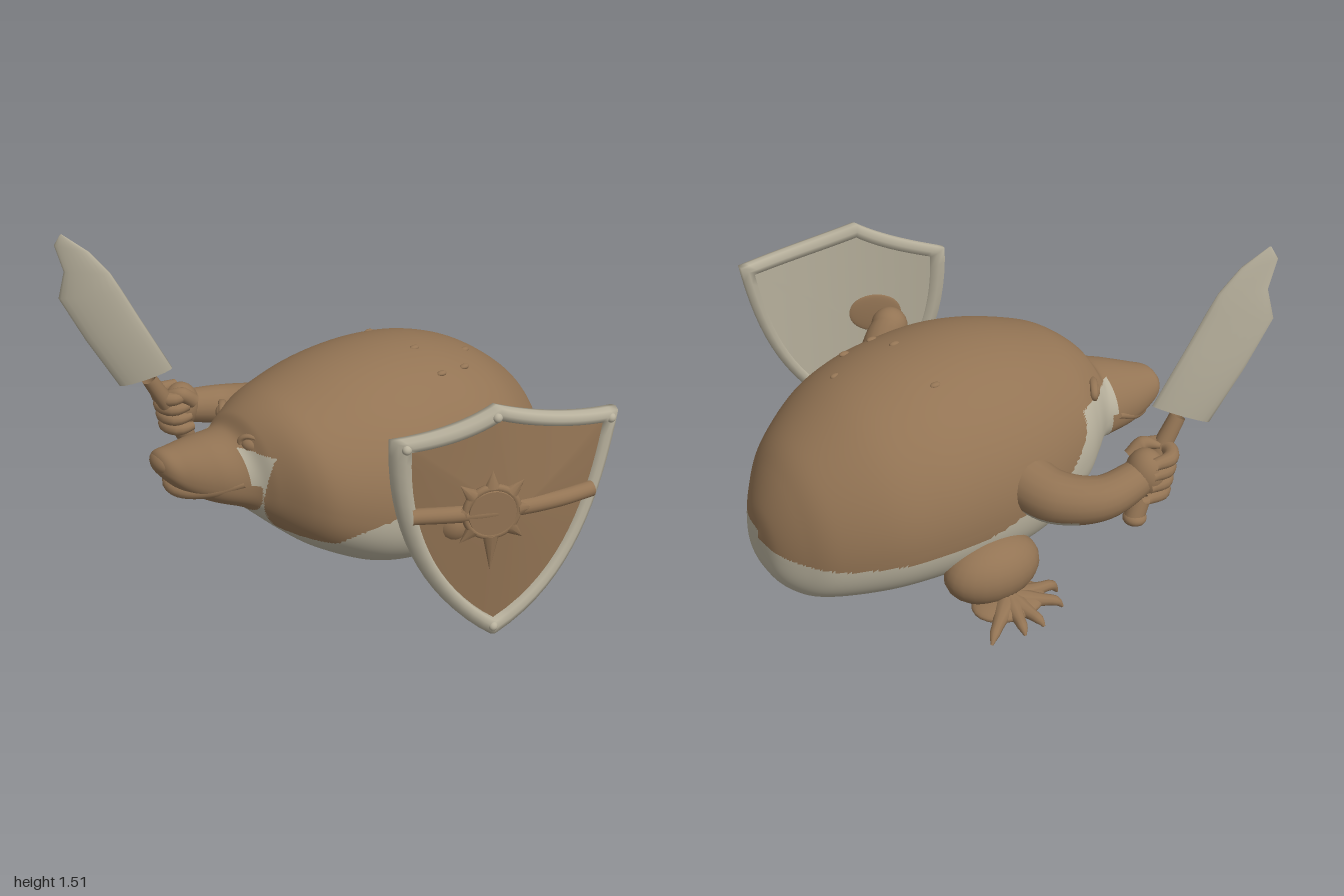
import * as THREE from 'three';
import { mergeVertices } from 'three/addons/utils/BufferGeometryUtils.js';

const flat = (name, color) => {
  const m = new THREE.MeshStandardMaterial({ color, side: THREE.DoubleSide });
  m.name = name;
  return m;
};

export function createModel() {
  const brown = flat('brown', 0x937454);
  const cream = flat('cream', 0xb7b09c);
  const root = new THREE.Group();
  root.name = 'shieldBearer';

  const add = (name, geo, mat, parent = root) => {
    const m = new THREE.Mesh(geo, mat);
    m.name = name;
    parent.add(m);
    return m;
  };
  const ball = (name, p, s, mat = brown) => {
    const m = add(name, new THREE.SphereGeometry(1, 24, 16), mat);
    m.position.set(...p);
    m.scale.set(...s);
    return m;
  };

  // Surface of rings (u) and closed cross-sections (v); isCream sorts faces into two colours
  function loft(nu, nv, fn, isCream = () => false) {
    const pos = [], idx = [[], []];
    for (let i = 0; i <= nu; i++)
      for (let j = 0; j < nv; j++) pos.push(...fn(i / nu, j / nv));
    const mid = (t) => [0, 1, 2].map((k) => (pos[t[0] * 3 + k] + pos[t[1] * 3 + k] + pos[t[2] * 3 + k]) / 3);
    for (let i = 0; i < nu; i++)
      for (let j = 0; j < nv; j++) {
        const a = i * nv + j, b = i * nv + (j + 1) % nv, c = a + nv, d = b + nv;
        for (const t of [[a, b, c], [b, d, c]]) idx[isCream(...mid(t), i / nu) ? 1 : 0].push(...t);
      }
    let g = new THREE.BufferGeometry();
    g.setAttribute('position', new THREE.Float32BufferAttribute(pos, 3));
    g.setIndex([...idx[0], ...idx[1]]);
    g = mergeVertices(g, 1e-5);
    g.addGroup(0, idx[0].length, 0);
    g.addGroup(idx[0].length, idx[1].length, 1);
    g.computeVertexNormals();
    return g;
  }

  // Round limb along a smooth path with changing radius
  function limb(name, pts, radii, isCream, nu = 24, nv = 18) {
    const curve = new THREE.CatmullRomCurve3(pts.map((p) => new THREE.Vector3(...p)));
    const fr = curve.computeFrenetFrames(nu, false);
    const geo = loft(nu, nv, (u, v) => {
      const k = u * (radii.length - 1), i = Math.min(Math.floor(k), radii.length - 2);
      const r = THREE.MathUtils.lerp(radii[i], radii[i + 1], k - i), n = Math.round(u * nu);
      return curve.getPointAt(u)
        .addScaledVector(fr.normals[n], r * Math.cos(v * Math.PI * 2))
        .addScaledVector(fr.binormals[n], r * Math.sin(v * Math.PI * 2)).toArray();
    }, isCream);
    return add(name, geo, [brown, cream]);
  }

  // Body, head and snout in one skin: z, centre x, half width, bottom y, top y
  const sections = [
    [-0.99, -0.13, 0, 0.3, 0.32], [-0.97, -0.13, 0.145, 0.14, 0.45], [-0.9, -0.13, 0.275, 0.06, 0.6],
    [-0.8, -0.13, 0.39, 0.04, 0.725], [-0.6, -0.13, 0.515, 0.04, 0.87], [-0.4, -0.13, 0.57, 0.04, 0.95],
    [-0.2, -0.13, 0.585, 0.04, 0.985], [0, -0.125, 0.585, 0.045, 0.99], [0.2, -0.13, 0.55, 0.09, 0.965],
    [0.4, -0.14, 0.47, 0.2, 0.91], [0.5, -0.155, 0.39, 0.28, 0.87], [0.58, -0.2, 0.285, 0.355, 0.81],
    [0.63, -0.25, 0.235, 0.395, 0.735], [0.74, -0.3, 0.185, 0.43, 0.71], [0.84, -0.34, 0.13, 0.485, 0.685],
    [0.9, -0.365, 0.085, 0.55, 0.665], [0.925, -0.37, 0, 0.6, 0.61],
  ];
  const spline = (f) => new THREE.CatmullRomCurve3(sections.map(f), false, 'catmullrom');
  const low = spline((s) => new THREE.Vector3(s[1], s[3], s[0]));
  const high = spline((s) => new THREE.Vector3(s[2], s[4], s[0]));
  const bodyPoint = (u, v) => {
    const l = low.getPoint(u), h = high.getPoint(u), a = v * Math.PI * 2;
    const c = Math.cos(a), s = Math.sin(a), ym = l.y + 0.4 * (h.y - l.y);
    const squash = s < 0 ? 0.8 : 1;
    const cx = Math.sign(c) * Math.pow(Math.abs(c), squash), sy = Math.sign(s) * Math.pow(Math.abs(s), squash);
    return [l.x + Math.max(0, h.x) * cx, ym + sy * (s > 0 ? h.y - ym : ym - l.y), l.z];
  };
  const bellyPatch = (x, y, z) => {
    if (z > (y < 0.56 ? 0.615 : 0.645)) return false;
    if (z <= 0) {
      const back = x > -0.13 ? 0.35 : 0.31;
      return y < back + 0.1 * Math.max(0, 1 + z / 0.5) + 0.015 * Math.sin(z * 9);
    }
    if (x < -0.13) return y < Math.min(0.7, 0.42 + (x + 0.7) * 1.87);
    if (x < 0.05 - 0.2 * Math.max(0, 0.7 - y)) return y < 0.7;
    return y < 0.33 + Math.max(0, x - 0.27) * 0.75;
  };
  add('body', loft(180, 220, bodyPoint, bellyPatch), [brown, cream]);

  // Face
  ball('nose', [-0.37, 0.61, 0.885], [0.082, 0.05, 0.042]);
  limb('lowerLip', [[-0.48, 0.55, 0.65], [-0.455, 0.51, 0.75], [-0.4, 0.495, 0.84], [-0.31, 0.49, 0.85],
    [-0.19, 0.505, 0.77], [-0.06, 0.56, 0.66]], [0.014, 0.028, 0.032, 0.032, 0.028, 0.014]);
  for (const [x, z, yaw] of [[-0.45, 0.515, -0.55], [-0.1, 0.59, 0.5]]) {
    ball('eye', [x, 0.71, z], [0.052, 0.034, 0.032]).rotation.y = yaw;
    const lid = add('eyelid', new THREE.TorusGeometry(0.056, 0.018, 10, 28), brown);
    lid.position.set(x, 0.718, z);
    lid.rotation.y = yaw;
    lid.scale.y = 0.62;
  }

  // Small warts on the back
  for (const [x, y, z] of [[0, 0.888, -0.52], [0.14, 0.888, -0.4], [0.16, 0.905, -0.25], [-0.02, 0.968, -0.24], [-0.35, 0.934, -0.24]])
    ball('wart', [x, y, z], [0.016, 0.012, 0.025]);

  // Hind legs with splayed, webbed toes
  const legs = [
    { name: 'left', thigh: [0.385, 0.18, -0.43], hub: [0.46, 0.055, -0.42],
      toes: [[0.575, -0.665, 0.03], [0.635, -0.5, 0.03], [0.66, -0.36, 0.02], [0.6, -0.24, 0.03], [0.49, -0.17, 0.03]] },
    { name: 'right', thigh: [-0.69, 0.18, -0.17], hub: [-0.79, 0.055, -0.15],
      toes: [[-0.965, -0.35, 0.03], [-0.99, -0.2, 0.03], [-0.985, -0.1, 0.03], [-0.91, 0.05, 0.02], [-0.8, 0.1, 0.005]] },
  ];
  for (const { name, thigh, hub, toes } of legs) {
    ball(name + 'Thigh', thigh, [0.15, 0.15, 0.225]);
    ball(name + 'Foot', hub, [0.125, 0.042, 0.17]);
    for (const [x, z, tip] of toes) {
      const at = (t, y) => [hub[0] + (x - hub[0]) * t, y, hub[2] + (z - hub[2]) * t];
      limb(name + 'Toe', [at(0.15, 0.06), at(0.6, 0.058), at(0.88, 0.05), at(1, tip)],
        [0.05, 0.043, 0.032, 0.025, 0.022, 0.006], undefined, 14, 10);
    }
  }

  // Arms, pale underneath
  limb('rightArm', [[-0.58, 0.52, 0.03], [-0.76, 0.49, 0.09], [-0.885, 0.5, 0.24], [-0.9, 0.55, 0.45]],
    [0.125, 0.115, 0.095, 0.078], (x, y, z, u) => y < 0.43 && u < 0.5);
  limb('leftArm', [[0.36, 0.565, -0.08], [0.53, 0.565, 0], [0.67, 0.56, 0.1], [0.74, 0.57, 0.18]],
    [0.11, 0.095, 0.088, 0.08], (x, y, z, u) => y < 0.51 && u > 0.35 && u < 0.85);
  ball('leftFist', [0.73, 0.575, 0.17], [0.09, 0.095, 0.09]);
  ball('rightFist', [-0.9, 0.56, 0.46], [0.09, 0.11, 0.085]);
  for (let i = 0; i < 4; i++) {
    const y = 0.475 + i * 0.054, z = 0.01 * i - 0.01;
    limb('finger', [[-0.965, y, 0.43 + z], [-0.96, y, 0.52 + z], [-0.9, y, 0.56 + z], [-0.83, y, 0.53 + z], [-0.82, y, 0.46 + z]],
      [0.026, 0.033, 0.034, 0.033, 0.02], undefined, 16, 12);
  }
  limb('thumb', [[-0.82, 0.6, 0.44], [-0.83, 0.65, 0.5], [-0.88, 0.65, 0.55]], [0.035, 0.035, 0.012]);

  // Sword: lens-shaped sections from spine (z, y) to cutting edge (z, y), on a leaning plane
  const bladeRows = [[0.65, 0.765, 0.65, 0.765], [0.55, 0.81, 0.76, 0.73], [0.68, 1.08, 0.89, 0.98], [0.75, 1.23, 0.99, 1.2],
    [0.79, 1.31, 0.967, 1.33], [0.87, 1.42, 1.0, 1.46], [0.965, 1.505, 0.975, 1.51], [0.97, 1.51, 0.97, 1.51]];
  add('swordBlade', loft(bladeRows.length - 1, 20, (u, v) => {
    const i = Math.round(u * (bladeRows.length - 1)), [z0, y0, z1, y1] = bladeRows[i];
    const t = 0.5 - 0.5 * Math.cos(v * Math.PI * 2), z = z0 + (z1 - z0) * t, y = y0 + (y1 - y0) * t;
    const thick = 0.14 * Math.hypot(z1 - z0, y1 - y0) * Math.sin(v * Math.PI * 2);
    return [-0.82 - 0.55 * (z - 0.55) + 0.12 * (y - 0.73) + thick, y, z];
  }), cream);
  limb('swordGrip', [[-0.865, 0.76, 0.645], [-0.865, 0.55, 0.53], [-0.885, 0.36, 0.44], [-0.89, 0.31, 0.42]],
    [0.035, 0.04, 0.04, 0.045, 0.045]);
  ball('pommel', [-0.89, 0.33, 0.43], [0.052, 0.035, 0.052]);

  // Shield: outline in (z, y) wrapped onto a bowed sheet
  const bow = (z) => 0.85 - 0.42 * (z - 0.05) - 0.4 * (z - 0.05) ** 2;
  const shape = new THREE.Shape();
  shape.moveTo(0.06, 1.11);
  shape.quadraticCurveTo(0.2, 1.02, 0.42, 0.98);
  shape.bezierCurveTo(0.43, 0.6, 0.33, 0.25, 0.05, 0.03);
  shape.bezierCurveTo(-0.3, 0.25, -0.43, 0.6, -0.5, 0.98);
  shape.quadraticCurveTo(-0.15, 1.03, 0.06, 1.11);
  const edge = shape.getPoints(16).slice(0, -1);
  const onShield = (v, s, depth) => {
    const p = edge[Math.round(v * edge.length) % edge.length];
    const z = p.x * s, y = 0.62 + (p.y - 0.62) * s;
    return [bow(z) + depth, y, z];
  };
  add('shieldFront', loft(10, edge.length, (u, v) => onShield(v, u * 0.93, 0.045 - 0.04 * u)), brown);
  add('shieldBack', loft(10, edge.length, (u, v) => onShield(v, u * 0.93, -0.015)), cream);
  const rim = [[1, -0.02], [1.005, 0.005], [0.985, 0.03], [0.93, 0.038], [0.88, 0.03], [0.86, 0.005], [0.87, -0.025], [0.93, -0.03], [1, -0.02]];
  add('shieldRim', loft(rim.length - 1, edge.length, (u, v) => onShield(v, ...rim[Math.round(u * (rim.length - 1))])), cream);
  for (const [z, y] of [[0.07, 1.065], [0.385, 0.95], [-0.455, 0.95], [0.055, 0.08]])
    ball('rivet', [bow(z) + 0.028, y, z], [0.02, 0.021, 0.021], cream);
  limb('shieldBar', [0.365, 0.2, 0, -0.2, -0.37].map((z) => [bow(z) + 0.028, 0.645, z]), [0.034, 0.037, 0.037, 0.034]);
  // Hand rest on the inside
  const gripTurn = Math.atan2(1, 0.48);
  ball('handRest', [bow(0.13) - 0.018, 0.63, 0.13], [0.13, 0.1, 0.012]).rotation.y = gripTurn;

  // Sun emblem
  const sun = new THREE.Group();
  sun.name = 'sunBoss';
  sun.position.set(bow(0.09) + 0.045, 0.65, 0.09);
  sun.rotation.y = gripTurn;
  root.add(sun);
  add('disc', new THREE.CylinderGeometry(0.1, 0.11, 0.04, 32), brown, sun).rotation.x = Math.PI / 2;
  add('ring', new THREE.TorusGeometry(0.11, 0.017, 10, 36), brown, sun);
  for (let i = 0; i < 8; i++) {
    const a = i * Math.PI / 4, len = i === 6 ? 0.17 : 0.08;
    const ray = add('ray', new THREE.ConeGeometry(0.035, len, 8), brown, sun);
    ray.position.set(Math.cos(a) * (0.11 + len / 2), Math.sin(a) * (0.11 + len / 2), 0);
    ray.rotation.z = a - Math.PI / 2;
    ray.scale.z = 0.6;
  }
  return root;
}
